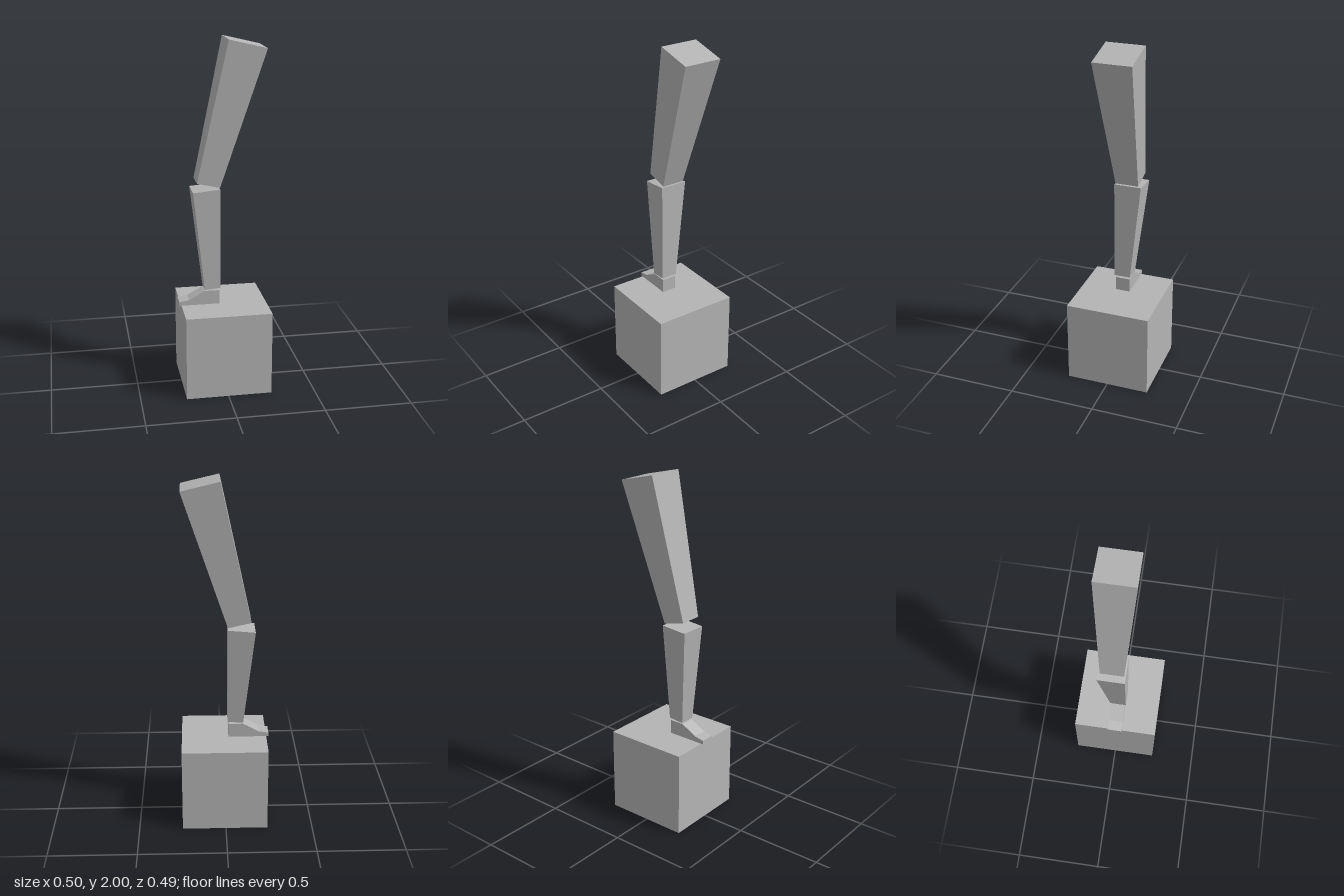
import * as THREE from 'three';

// Six-sided tapered limb: end outlines given as [x, y] left and right corners plus a z range
function limb(top, bottom) {
  const ring = ({ left, right, z }) => [
    [...left, z[1]], [...right, z[1]], [...right, z[0]], [...left, z[0]],
  ];
  const t = ring(top), b = ring(bottom), pos = [];
  const quad = (p, q, r, s) => pos.push(...p, ...q, ...r, ...p, ...r, ...s);
  for (let i = 0; i < 4; i++) {
    const j = (i + 1) % 4;
    quad(b[i], b[j], t[j], t[i]);
  }
  quad(t[0], t[1], t[2], t[3]);
  quad(b[3], b[2], b[1], b[0]);
  const g = new THREE.BufferGeometry();
  g.setAttribute('position', new THREE.Float32BufferAttribute(pos, 3));
  g.computeVertexNormals();
  return g;
}

export function createModel() {
  const group = new THREE.Group();
  const grey = new THREE.MeshStandardMaterial({ color: 0xb4b4b4 });
  grey.name = 'grey';
  const add = (name, geometry) => {
    const mesh = new THREE.Mesh(geometry, grey);
    mesh.name = name;
    group.add(mesh);
    return mesh;
  };

  // Pedestal block
  add('pedestal', new THREE.BoxGeometry(0.49, 0.49, 0.488)).position.set(0.005, 0.245, -0.001);

  // Foot: side outline with sloping instep, toe pointing to -x
  const outline = [
    [-0.252, 0.49], [-0.02, 0.49], [-0.02, 0.572],
    [-0.105, 0.572], [-0.195, 0.522], [-0.252, 0.512],
  ].map(([x, y]) => new THREE.Vector2(x, y));
  add('foot', new THREE.ExtrudeGeometry(new THREE.Shape(outline), { depth: 0.084, bevelEnabled: false }))
    .position.z = -0.043;

  // Lower leg, flat in front and flaring backwards to the knee
  add('lowerLeg', limb(
    { left: [-0.168, 1.158], right: [-0.015, 1.172], z: [-0.109, 0.048] },
    { left: [-0.105, 0.58], right: [-0.015, 0.588], z: [-0.047, 0.047] },
  ));

  // Upper leg, leaning towards +x
  add('upperLeg', limb(
    { left: [0.026, 2.0], right: [0.238, 1.95], z: [-0.142, 0.077] },
    { left: [-0.145, 1.21], right: [-0.015, 1.18], z: [-0.093, 0.04] },
  ));

  return group;
}
